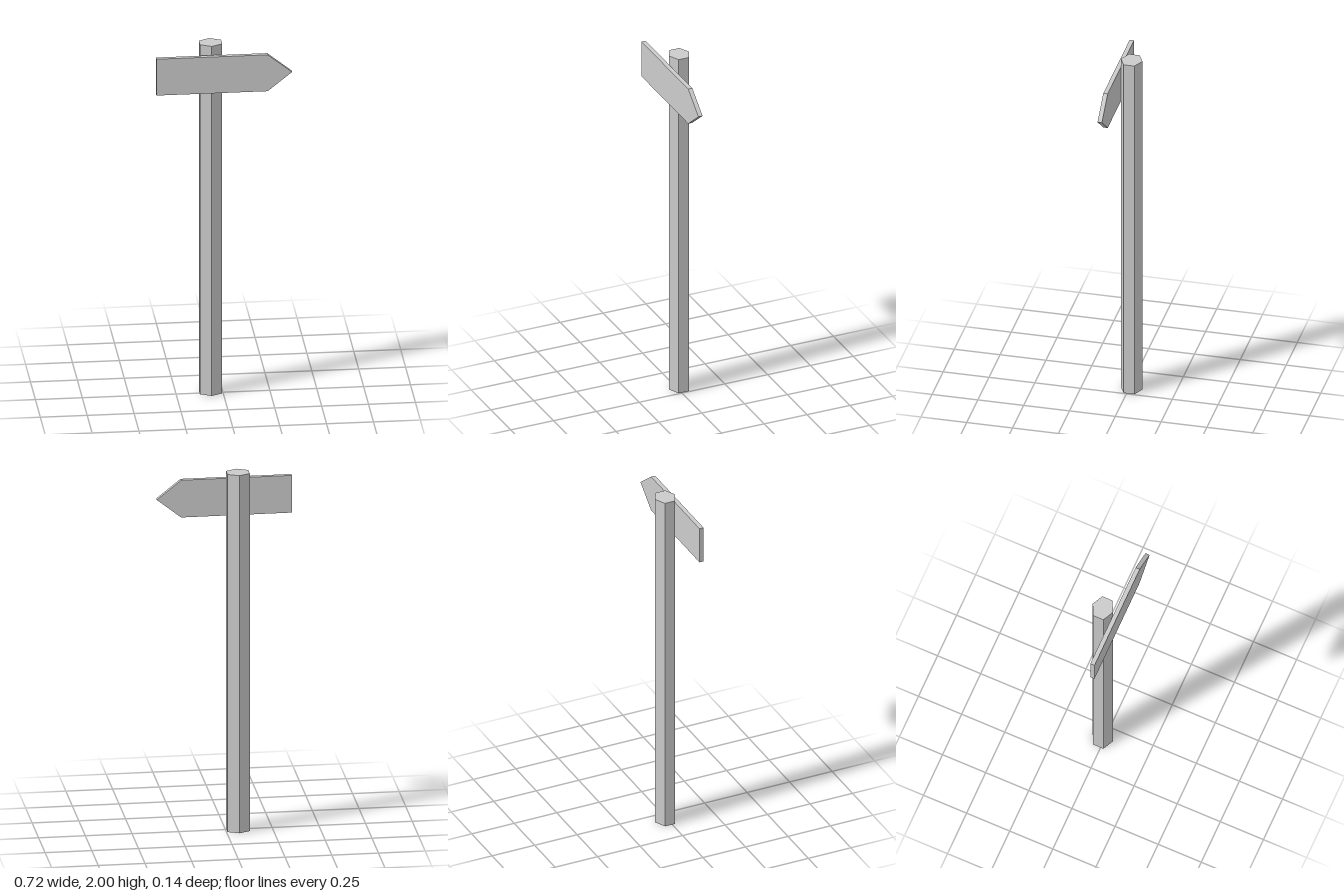
import * as THREE from 'three';

export function createModel() {
  const model = new THREE.Group();
  const material = new THREE.MeshStandardMaterial({ color: 0xcccccc, flatShading: true });

  // Hexagonal post, slightly wider than deep, with a corner towards the front
  const post = new THREE.Mesh(new THREE.CylinderGeometry(0.059, 0.059, 2, 6), material);
  post.name = 'post';
  post.scale.x = 1.165;
  post.position.set(-0.065, 1, -0.013);
  model.add(post);

  // Arrow-shaped board fixed to the front corner of the post
  const outline = new THREE.Shape([
    new THREE.Vector2(-0.362, -0.104),
    new THREE.Vector2(0.231, -0.104),
    new THREE.Vector2(0.361, 0),
    new THREE.Vector2(0.231, 0.104),
    new THREE.Vector2(-0.362, 0.104),
  ]);
  const board = new THREE.Mesh(
    new THREE.ExtrudeGeometry(outline, { depth: 0.024, bevelEnabled: false }), material);
  board.name = 'arrowBoard';
  board.position.set(0, 1.845, 0.046);
  model.add(board);

  return model;
}
